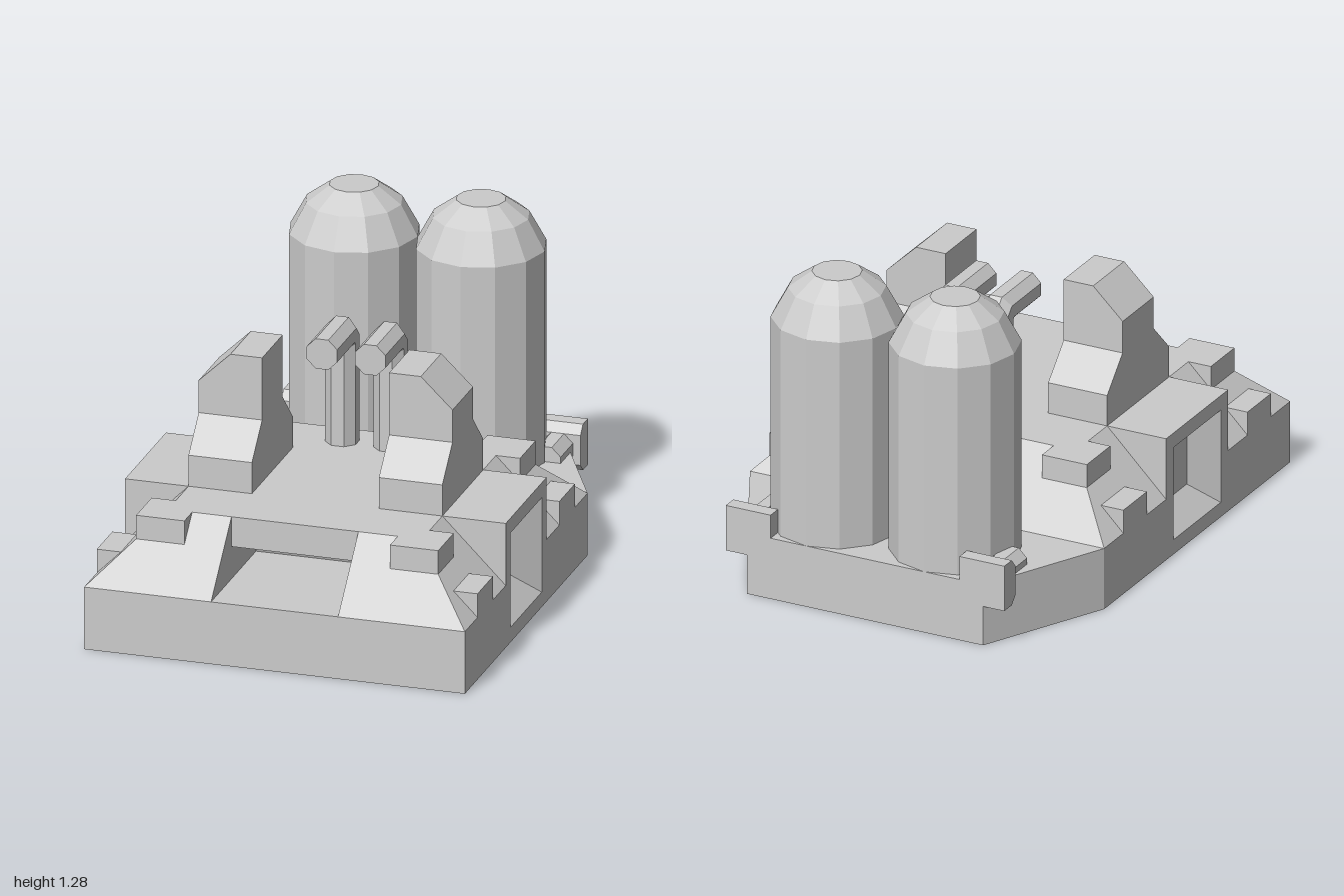
import * as THREE from 'three';
import { ConvexGeometry } from 'three/addons/geometries/ConvexGeometry.js';

const material = new THREE.MeshStandardMaterial({ color: 0xcccccc, flatShading: true });

export function createModel() {
  const model = new THREE.Group();

  const add = (name, geometry, x = 0, y = 0, z = 0) => {
    const mesh = new THREE.Mesh(geometry, material);
    mesh.name = name;
    mesh.position.set(x, y, z);
    model.add(mesh);
    return mesh;
  };
  // Box given by its lower and upper limits, s mirrors it in x
  const box = (name, s, [x0, x1], [y0, y1], [z0, z1]) =>
    add(name, new THREE.BoxGeometry(x1 - x0, y1 - y0, z1 - z0),
      s * (x0 + x1) / 2, (y0 + y1) / 2, (z0 + z1) / 2);
  // Convex solid from corner points
  const hull = (name, points) =>
    add(name, new ConvexGeometry(points.map((p) => new THREE.Vector3(...p))));
  // Straight prism along x from a convex [z, y] profile
  const prismX = (name, x0, x1, profile) =>
    hull(name, profile.flatMap(([z, y]) => [[x0, y, z], [x1, y, z]]));

  // Base slab with tapered rear and side gaps for the window blocks
  const half = [[0.75, 1], [0.75, 0.5], [0.6, 0.5], [0.6, 0], [0.75, 0], [0.75, -0.5], [0.5, -1]];
  const outline = [...half, ...half.map(([x, z]) => [-x, z]).reverse()];
  const slab = new THREE.ExtrudeGeometry(
    new THREE.Shape(outline.map(([x, z]) => new THREE.Vector2(x, -z))),
    { depth: 0.25, bevelEnabled: false });
  add('base', slab.rotateX(-Math.PI / 2));

  // Centre deck with an undercut opening at the front
  const deckProfile = [[-0.25, 0.25], [0.45, 0.25], [0.5, 0.38], [0.75, 0.38], [0.75, 0.5], [-0.25, 0.5]];
  const deck = new THREE.ExtrudeGeometry(
    new THREE.Shape(deckProfile.map(([z, y]) => new THREE.Vector2(-z, y))),
    { depth: 0.5, bevelEnabled: false });
  add('centreDeck', deck.translate(0, 0, -0.25).rotateY(Math.PI / 2));

  // Octagonal pipe section
  const a = 0.06, b = 0.025;
  const octagon = [[a, b], [b, a], [-b, a], [-a, b], [-a, -b], [-b, -a], [b, -a], [a, -b]];

  for (const s of [1, -1]) {
    box('sideDeck', s, [0.25, 0.6], [0.25, 0.5], [0, 0.5]);

    // Sloped corners and their blocks, alike at front and rear
    for (const e of [1, -1]) {
      const z = (d) => 0.25 + e * d;
      hull('slopedCorner', [
        [0.25, 0.25, 0.25], [0.75, 0.25, 0.25], [0.25, 0.25, 0.75], [0.75, 0.25, 0.75],
        [0.25, 0.5, 0.25], [0.5, 0.5, 0.25], [0.25, 0.5, 0.5], [0.5, 0.5, 0.5],
      ].map(([x, y, d]) => [s * x, y, z(d)]));
      const span = [z(0.405), z(0.595)].sort((p, q) => p - q);
      box('upperCornerBlock', s, [0.405, 0.595], [0.3, 0.5], span);
      box('lowerCornerBlock', s, [0.655, 0.75], [0.25, 0.345], span);
    }

    // Square block with a tapered window recess
    const r = Math.SQRT2;
    const windowProfile = [[0.25, 0], [0.25, 0.15], [0.19, 0.15], [0.097, 0.055], [0, 0.055]]
      .map(([w, h]) => new THREE.Vector2(w * r, h));
    const windowGeometry = new THREE.LatheGeometry(windowProfile, 4, Math.PI / 4);
    add('windowBlock', windowGeometry.rotateZ(-s * Math.PI / 2), s * 0.6, 0.25, 0.25);

    // Stepped tower with a chamfered outer top edge
    prismX('towerFoot', s * 0.25, s * 0.5,
      [[0, 0.5], [0.5, 0.5], [0.5, 0.625], [0.375, 0.75], [0.125, 0.75], [0, 0.625]]);
    hull('towerTop', [0.125, 0.375].flatMap((z) =>
      [[0.25, 0.75], [0.5, 0.75], [0.5, 0.88], [0.375, 1], [0.25, 1]].map(([x, y]) => [s * x, y, z])));

    // Bent pipe: centre y, z and the mitre direction of each ring
    const path = [[0.94, 0.125, 1, 0], [0.94, -0.1, 1, -0.414], [0.915, -0.125, 0.414, -1], [0.48, -0.125, 0, -1]];
    const rings = path.map(([y, z, my, mz]) =>
      octagon.map(([u, v]) => [s * 0.095 + u, y + v * my, z + v * mz]));
    for (let i = 0; i < 3; i++) hull('bentPipe', [...rings[i], ...rings[i + 1]]);

    // Straight octagonal pipes along z
    const straight = (name, x, y, z0, z1) =>
      hull(name, [z0, z1].flatMap((z) => octagon.map(([u, v]) => [s * x + u, y + v, z])));
    straight('tankPipe', 0.13, 0.285, -0.24, -0.7);
    straight('clampPipe', 0.5, 0.25, -0.76, -0.93);

    // Rear clamp
    prismX('rearClamp', s * 0.4, s * 0.59,
      [[-1, 0.16], [-1, 0.345], [-0.94, 0.345], [-0.91, 0.31], [-0.91, 0.19], [-0.94, 0.16]]);

    // Domed tank
    const tank = [[0, 0.2], [0.25, 0.2], [0.25, 1.1], [0.185, 1.22], [0.095, 1.285], [0, 1.285]];
    add('tank', new THREE.LatheGeometry(tank.map((p) => new THREE.Vector2(...p)), 12), s * 0.25, 0, -0.75);
  }
  return model;
}
